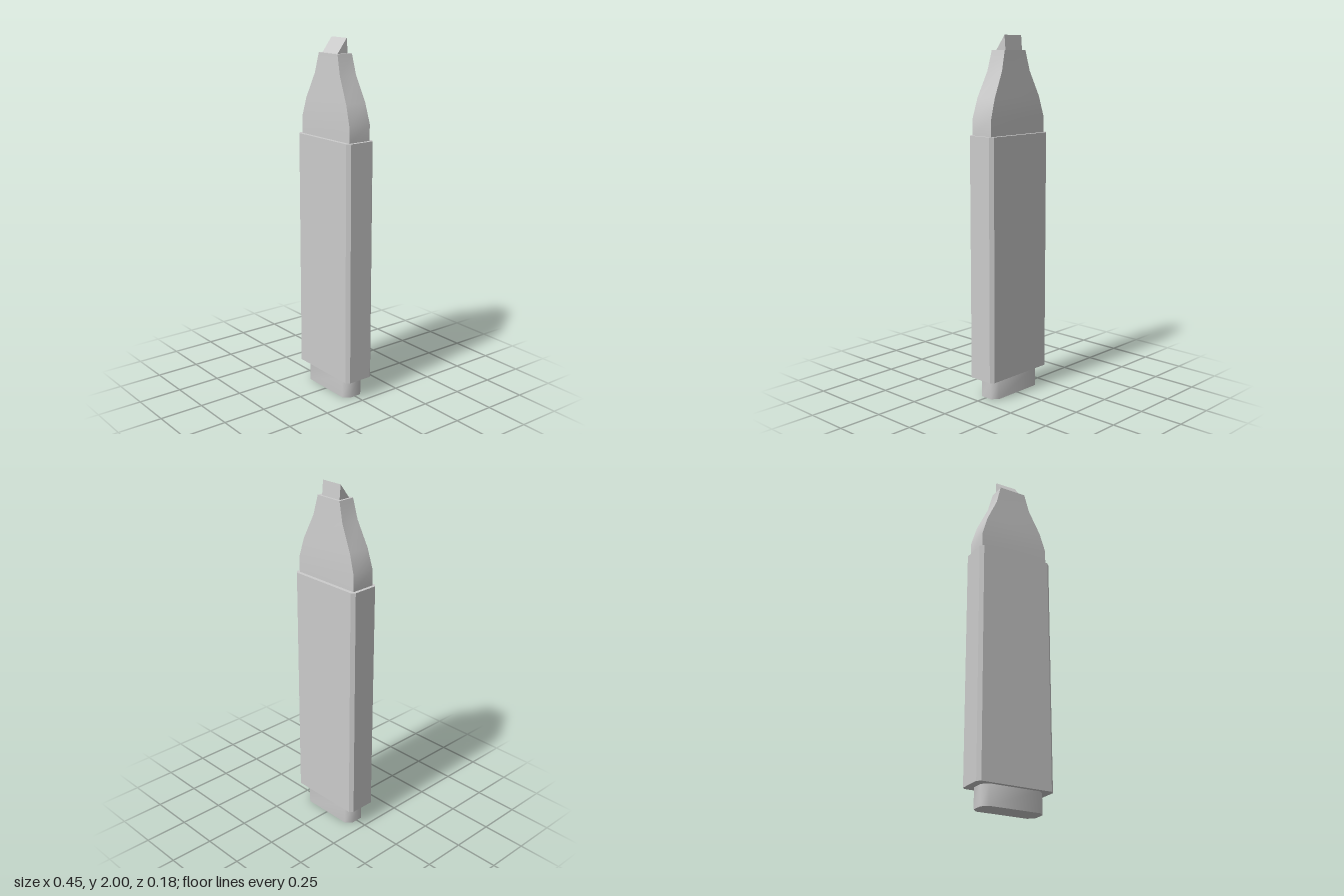
import * as THREE from 'three';
import { toCreasedNormals } from 'three/addons/utils/BufferGeometryUtils.js';

const material = new THREE.MeshStandardMaterial({ color: 0xcccccc });

// Rectangle with optional corner cuts, at height y
function ring(y, hx, hz, c) {
  const p = c
    ? [[hx, c - hz], [hx, hz - c], [hx - c, hz], [c - hx, hz], [-hx, hz - c], [-hx, c - hz], [c - hx, -hz], [hx - c, -hz]]
    : [[hx, -hz], [hx, hz], [-hx, hz], [-hx, -hz]];
  return p.map(([x, z]) => [x, y, z]);
}

// Closed loft through sections [y, halfWidth, halfDepth], sharp above the crease angle
function loft(name, sections, cut, crease) {
  const rings = sections.map(([y, hx, hz]) => ring(y, hx, hz, cut));
  const n = rings[0].length;
  const index = [];
  for (let s = 0; s < rings.length - 1; s++) {
    for (let i = 0; i < n; i++) {
      const a = s * n + i, b = s * n + (i + 1) % n;
      index.push(a, a + n, b, b, a + n, b + n);
    }
  }
  const top = (rings.length - 1) * n;
  for (let i = 1; i < n - 1; i++) {
    index.push(0, i, i + 1, top, top + i + 1, top + i);
  }
  const geometry = new THREE.BufferGeometry();
  geometry.setAttribute('position', new THREE.Float32BufferAttribute(rings.flat(2), 3));
  geometry.setIndex(index);
  const mesh = new THREE.Mesh(toCreasedNormals(geometry, crease), material);
  mesh.name = name;
  return mesh;
}

export function createModel() {
  const group = new THREE.Group();
  group.name = 'marker';

  // End plug with softly shaded corners
  group.add(loft('endPlug', [[0, 0.183, 0.067], [0.115, 0.183, 0.067]], 0.032, 0.9));

  // Flat barrel with cut corners
  group.add(loft('barrel', [[0.115, 0.227, 0.09], [1.47, 0.227, 0.09]], 0.019, 0.5));

  // Tapered shoulder holding the nib
  group.add(loft('shoulder', [
    [1.47, 0.208, 0.069],
    [1.56, 0.208, 0.069],
    [1.67, 0.175, 0.064],
    [1.81, 0.109, 0.054],
    [1.92, 0.081, 0.048],
  ], 0, 0.6));

  // Chisel nib: slanted front face rising to a sharp rear edge
  const profile = new THREE.Shape([
    new THREE.Vector2(0.033, 1.92),
    new THREE.Vector2(-0.028, 2.0),
    new THREE.Vector2(-0.035, 1.92),
  ]);
  const nibGeometry = new THREE.ExtrudeGeometry(profile, { depth: 0.13, bevelEnabled: false });
  nibGeometry.rotateY(-Math.PI / 2).translate(0.062, 0, 0);
  const nib = new THREE.Mesh(nibGeometry, material);
  nib.name = 'chiselNib';
  group.add(nib);

  return group;
}
